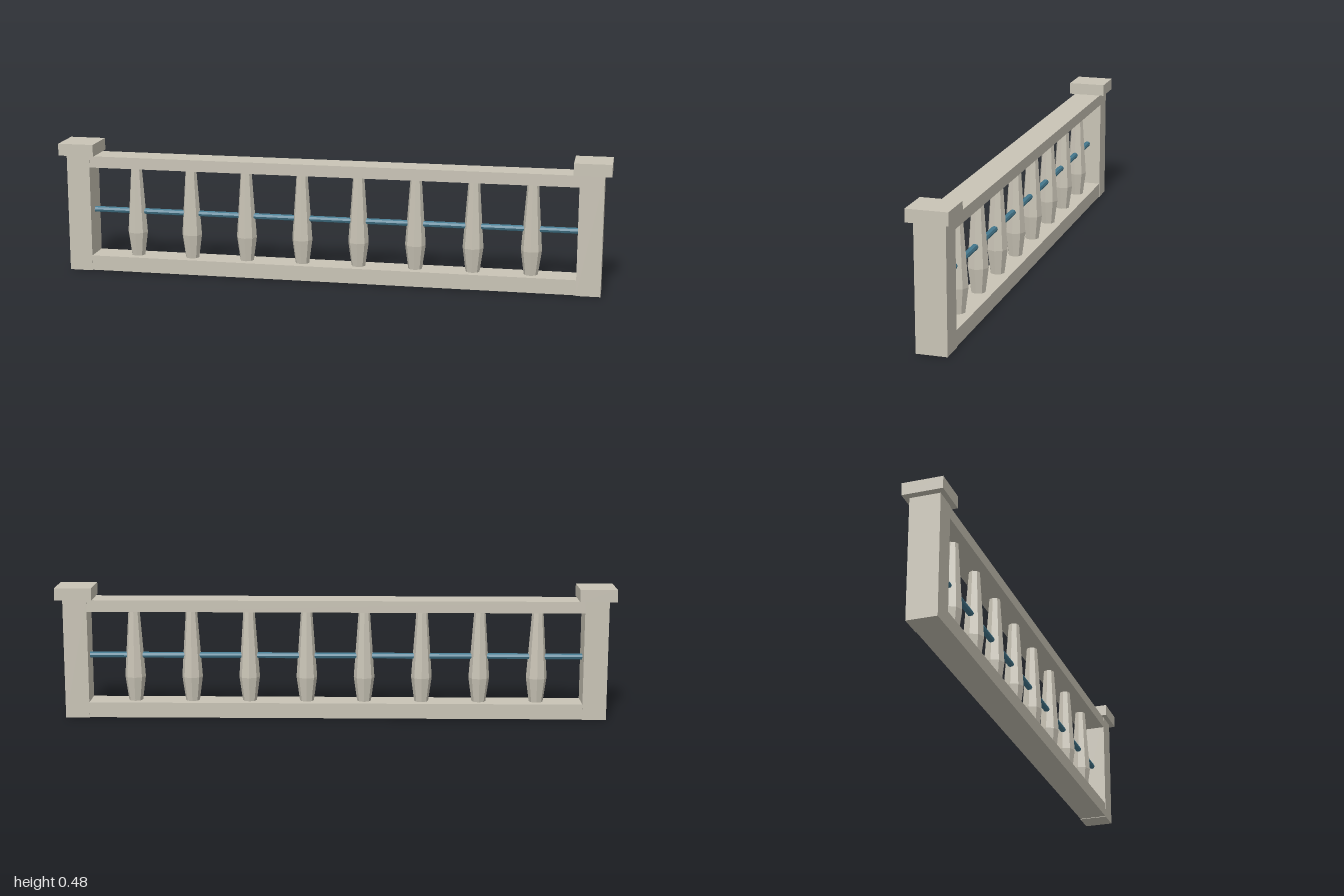
import * as THREE from 'three';

export function createModel() {
  const stone = new THREE.MeshStandardMaterial({ color: 0xc9c4b6 });
  stone.name = 'stone';
  const metal = new THREE.MeshStandardMaterial({ color: 0x467a90 });
  metal.name = 'blueMetal';

  const model = new THREE.Group();
  model.name = 'balustrade';

  const add = (name, geometry, material, x, y, z = 0) => {
    const mesh = new THREE.Mesh(geometry, material);
    mesh.name = name;
    mesh.position.set(x, y, z);
    model.add(mesh);
    return mesh;
  };
  // Box given by its x centre, width, bottom, top and depth
  const block = (name, x, width, bottom, top, depth) =>
    add(name, new THREE.BoxGeometry(width, top - bottom, depth), stone, x, (bottom + top) / 2);

  // End posts with overhanging caps
  for (const [side, s] of [['left', 1], ['right', -1]]) {
    block(side + 'Post', s * 0.932, 0.086, 0, 0.434, 0.106);
    block(side + 'PostCap', s * 0.934, 0.132, 0.434, 0.478, 0.141);
  }

  // Bottom and top rails between the posts
  block('bottomRail', 0, 1.778, 0.002, 0.057, 0.104);
  block('topRail', 0, 1.778, 0.39, 0.432, 0.104);

  // Faceted balusters: narrow foot, belly, tapering neck
  const profile = [[0.025, 0.055], [0.0375, 0.145], [0.02, 0.392]]
    .map(([r, y]) => new THREE.Vector2(r, y));
  const lathe = new THREE.LatheGeometry(profile, 8).toNonIndexed();
  lathe.computeVertexNormals(); // one normal per facet
  const count = 8, spacing = 0.2075;
  for (let i = 0; i < count; i++) {
    add('baluster' + (i + 1), lathe, stone, (i - (count - 1) / 2) * spacing, 0);
  }

  // Thin rod running through all balusters
  const rodGeometry = new THREE.CylinderGeometry(0.011, 0.011, 1.778, 8).toNonIndexed();
  rodGeometry.computeVertexNormals();
  add('rod', rodGeometry, metal, 0, 0.223).rotation.z = Math.PI / 2;

  return model;
}
